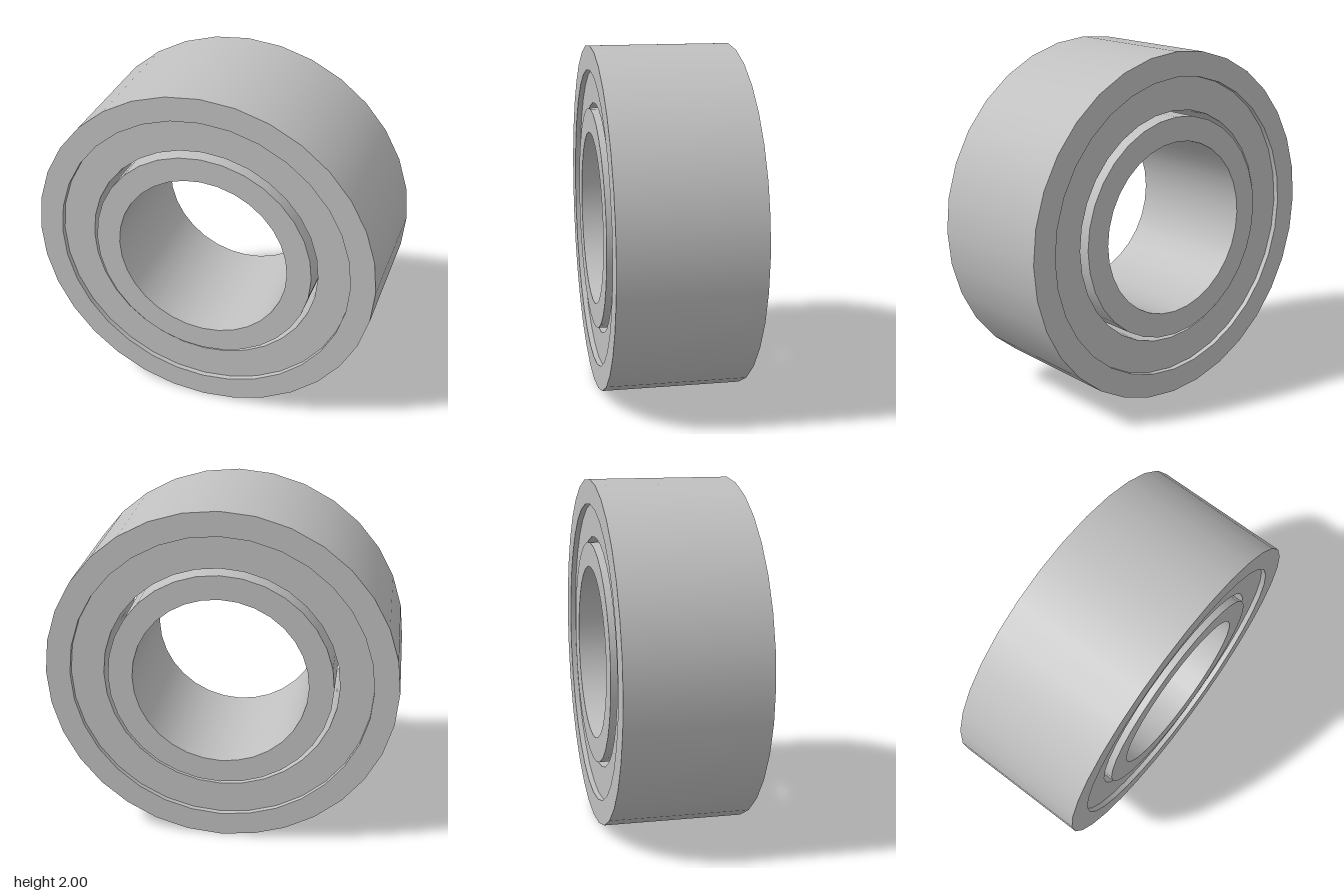
import * as THREE from 'three';
import { mergeGeometries } from 'three/addons/utils/BufferGeometryUtils.js';

const SIDES = 32;

// Rectangular-section ring around z: smooth round walls, crisp edges.
function ringGeometry(inner, outer, halfDepth) {
  const corners = [
    new THREE.Vector2(inner, -halfDepth),
    new THREE.Vector2(outer, -halfDepth),
    new THREE.Vector2(outer, halfDepth),
    new THREE.Vector2(inner, halfDepth),
  ];
  // One lathe per wall keeps the normals separate at the corners
  const walls = corners.map((p, i) =>
    new THREE.LatheGeometry([p, corners[(i + 1) % 4]], SIDES));
  return mergeGeometries(walls).rotateX(Math.PI / 2);
}

export function createModel() {
  const steel = new THREE.MeshStandardMaterial({ color: 0xc0c0c0 });
  steel.name = 'steel grey';

  const bearing = new THREE.Group();
  bearing.name = 'bearing';

  // name, inner radius, outer radius, half depth
  const rings = [
    ['outerRing', 0.86, 1, 0.4],
    ['recessedShield', 0.67, 0.86, 0.37],
    ['innerRing', 0.5, 0.64, 0.4],
  ];
  for (const [name, inner, outer, halfDepth] of rings) {
    const mesh = new THREE.Mesh(ringGeometry(inner, outer, halfDepth), steel);
    mesh.name = name;
    mesh.position.y = 1;
    bearing.add(mesh);
  }
  return bearing;
}
